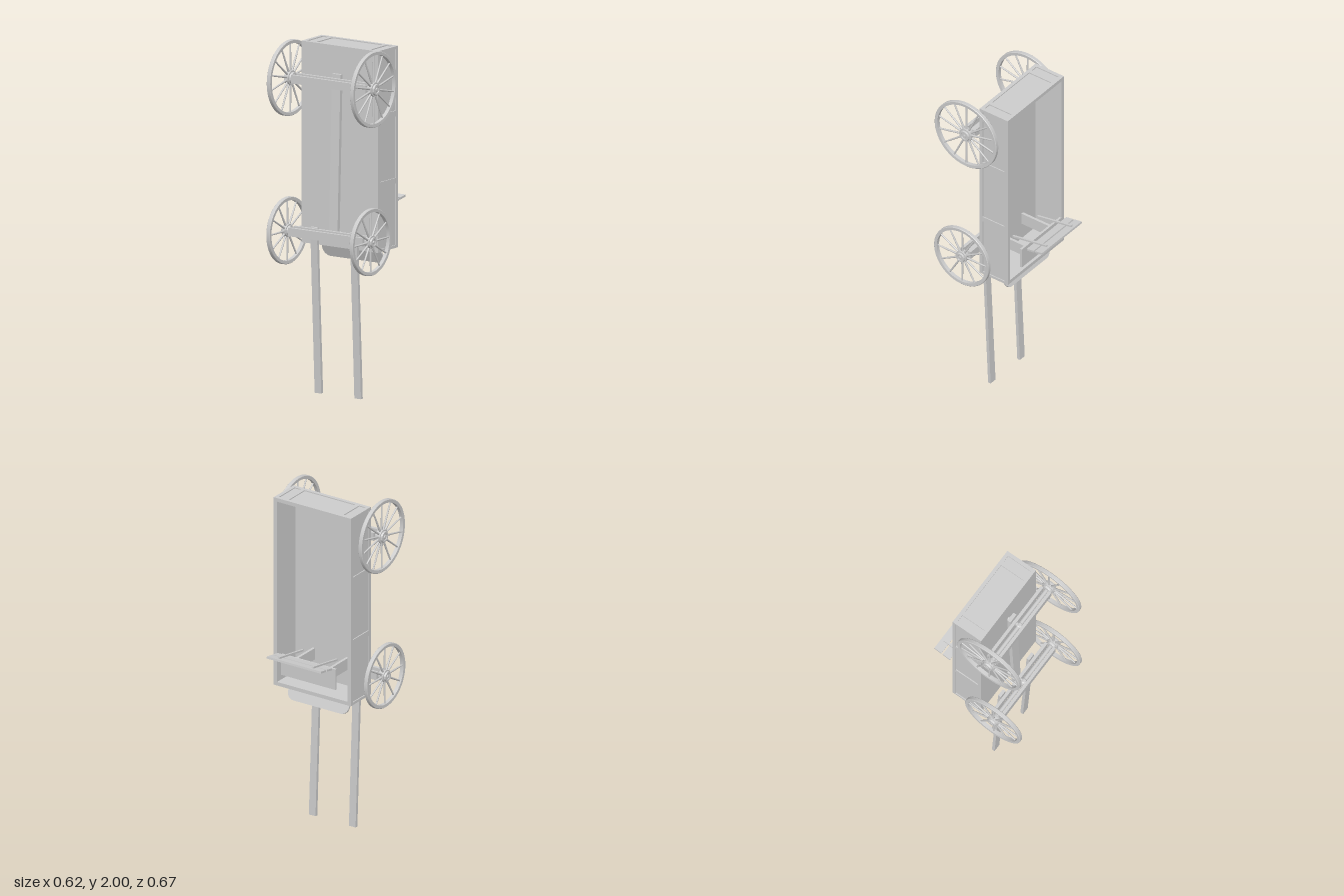
import * as THREE from 'three';
import { toCreasedNormals } from 'three/addons/utils/BufferGeometryUtils.js';

const grey = new THREE.MeshStandardMaterial({ color: 0xcccccc });

function add(parent, name, geometry, x = 0, y = 0, z = 0) {
  const mesh = new THREE.Mesh(geometry, grey);
  mesh.name = name;
  mesh.position.set(x, y, z);
  parent.add(mesh);
  return mesh;
}

// Box given by its limits on each axis
function block(parent, name, x0, x1, y0, y1, z0, z1) {
  const g = new THREE.BoxGeometry(x1 - x0, y1 - y0, z1 - z0);
  return add(parent, name, g, (x0 + x1) / 2, (y0 + y1) / 2, (z0 + z1) / 2);
}

// Straight bar between two points (y, z), lying in a plane of constant x
function bar(parent, name, x, a, b, width, thick) {
  const dy = b[0] - a[0], dz = b[1] - a[1];
  const g = new THREE.BoxGeometry(width, Math.hypot(dy, dz), thick);
  const m = add(parent, name, g, x, (a[0] + b[0]) / 2, (a[1] + b[1]) / 2);
  m.rotation.x = Math.atan2(dz, dy);
  return m;
}

function rectangle(Type, x0, x1, y0, y1) {
  return new Type([[x0, y0], [x1, y0], [x1, y1], [x0, y1]].map(p => new THREE.Vector2(...p)));
}

// Raised frame, with one opening per panel, facing +z
function frame(w, h, openings, depth) {
  const shape = rectangle(THREE.Shape, -w / 2, w / 2, -h / 2, h / 2);
  for (const [a, b] of openings) shape.holes.push(rectangle(THREE.Path, a, b, -h / 2 + 0.021, h / 2 - 0.021));
  return new THREE.ExtrudeGeometry(shape, { depth, bevelEnabled: false });
}

// Lathe turned so that its axis runs along x; points are [x, radius]
function lathe(points, segments) {
  const g = new THREE.LatheGeometry(points.map(([x, r]) => new THREE.Vector2(r, x)), segments);
  return toCreasedNormals(g.rotateZ(-Math.PI / 2), 0.6);
}

function wheel(name, radius, spokes) {
  const g = new THREE.Group();
  g.name = name;
  const inner = radius - 0.02, k = radius / 0.215;
  add(g, 'rim', lathe([[-0.011, inner], [-0.012, radius - 0.003], [-0.009, radius], [0.009, radius],
    [0.012, radius - 0.003], [0.011, inner], [-0.011, inner]], 64));
  add(g, 'hub', lathe([[-0.026, 0], [-0.026, 0.03], [-0.014, 0.033], [-0.014, 0.041], [0.014, 0.041],
    [0.014, 0.033], [0.024, 0.03], [0.024, 0.02], [0.02, 0.018], [0.02, 0.01], [0.027, 0.01], [0.027, 0]]
    .map(([x, r]) => [x, r * k]), 32));
  for (let i = 0; i < spokes; i++) {
    const s = new THREE.CylinderGeometry(0.0045, 0.0065, inner - 0.02, 10);
    s.translate(0, (inner + 0.025) / 2, 0).rotateX(i / spokes * Math.PI * 2);
    add(g, 'spoke', s);
  }
  return g;
}

// Open-topped cargo box; its open side faces -z
function cargoBox() {
  const g = new THREE.Group();
  g.name = 'cargoBox';
  const X = 0.26, Y0 = 0.84, Y1 = 1.985, Z0 = -0.153, Z1 = 0.043, t = 0.006, wall = 0.022;
  const L = Y1 - Y0, H = Z1 - Z0, yc = (Y0 + Y1) / 2, zc = (Z0 + Z1) / 2;
  block(g, 'floor', -X + t, X - t, Y0 + t, Y1 - t, Z1 - 0.015, Z1);
  const endPanels = [[-0.238, -0.196], [-0.171, 0.171], [0.196, 0.238]];
  const sidePanels = [-1, 0, 1].map(i => [i * L / 3 - L / 6 + 0.016, i * L / 3 + L / 6 - 0.016]);
  for (const s of [-1, 1]) {
    const xa = s * (X - t), xb = s * (X - wall);
    block(g, 'sideWall', Math.min(xa, xb), Math.max(xa, xb), Y0 + t, Y1 - t, Z0, Z1);
    const side = frame(L, H, sidePanels, t).rotateZ(Math.PI / 2).rotateY(s * Math.PI / 2);
    add(g, 'sideFrame', side, xa, yc, zc);

    const ya = s > 0 ? Y1 - t : Y0 + t, yb = s > 0 ? Y1 - wall : Y0 + wall;
    block(g, 'endWall', -X + wall, X - wall, Math.min(ya, yb), Math.max(ya, yb), Z0, Z1);
    add(g, 'endFrame', frame(2 * X, H, endPanels, t).rotateX(-s * Math.PI / 2), 0, ya, zc);
  }
  return g;
}

// Round axle between two flat boards, with a wheel on each end
function axleSet(name, y, z, radius, spokes) {
  const g = new THREE.Group();
  g.name = name;
  add(g, 'axle', new THREE.CylinderGeometry(0.012, 0.012, 0.54, 20).rotateZ(Math.PI / 2), 0, y, z);
  for (const s of [-1, 1]) {
    block(g, 'axleBoard', -0.254, 0.254, y - 0.024, y + 0.024, z + s * 0.027 - 0.009, z + s * 0.027 + 0.009);
    const w = wheel('wheel', radius, spokes);
    w.position.set(s * 0.283, y, z);
    if (s < 0) w.rotation.y = Math.PI;
    g.add(w);
  }
  // Pin joining the axle to the box, with a collar round the axle
  const pinLength = z + 0.02 - 0.04;
  add(g, 'pin', new THREE.CylinderGeometry(0.013, 0.013, pinLength, 20).rotateX(Math.PI / 2), 0, y, 0.04 + pinLength / 2);
  add(g, 'collar', lathe([[-0.015, 0.012], [-0.009, 0.016], [0.009, 0.016], [0.015, 0.012]], 20), 0, y, z);
  return g;
}

function seat() {
  const g = new THREE.Group();
  g.name = 'seat';
  block(g, 'seatBoard', -0.183, 0.183, 0.935, 1.06, -0.193, -0.18);
  // Backrest line, as y for a given z
  const lean = z => 1.073 + (-0.15 - z) * 0.17;
  for (const s of [-1, 1]) {
    block(g, 'seatLeg', s * 0.114 - 0.008, s * 0.114 + 0.008, 0.965, 1.035, -0.18, 0.03);
    bar(g, 'backPost', s * 0.114, [lean(-0.08), -0.08], [lean(-0.317), -0.317], 0.012, 0.01);
  }
  for (const z of [-0.228, -0.286]) {
    bar(g, 'backBoard', 0, [lean(z) - 0.011, z], [lean(z - 0.049) - 0.011, z - 0.049], 0.366, 0.012);
  }
  return g;
}

// Sloping foot board with rounded corners
function footBoard() {
  const w = 0.205, h = 0.1, r = 0.046;
  const s = new THREE.Shape();
  s.moveTo(-w + r, -h);
  s.lineTo(w - r, -h);
  s.absarc(w - r, -h + r, r, -Math.PI / 2, 0, false);
  s.absarc(w - r, -r, r, 0, Math.PI / 2, false);
  s.lineTo(-w + r, 0);
  s.absarc(-w + r, -r, r, Math.PI / 2, Math.PI, false);
  s.absarc(-w + r, -h + r, r, Math.PI, Math.PI * 1.5, false);
  const g = new THREE.ExtrudeGeometry(s, { depth: 0.01, bevelEnabled: false, curveSegments: 10 });
  return toCreasedNormals(g, 0.6);
}

export function createModel() {
  const wagon = new THREE.Group();
  wagon.name = 'wagon';
  wagon.add(cargoBox(), seat());
  wagon.add(axleSet('rearAxle', 1.785, 0.117, 0.215, 14));
  wagon.add(axleSet('frontAxle', 0.922, 0.146, 0.19, 12));

  // Reach pole under the floor, linking both axles
  bar(wagon, 'reachPole', 0, [0.885, 0.096], [1.83, 0.066], 0.058, 0.021);

  // Pair of shafts
  for (const s of [-1, 1]) bar(wagon, 'shaft', s * 0.135, [0, 0.052], [0.948, 0.095], 0.045, 0.018);

  const board = add(wagon, 'footBoard', footBoard(), 0, 0.845, -0.07);
  board.rotation.x = 0.4;
  block(wagon, 'footBoardCleat', -0.16, 0.16, 0.828, 0.842, -0.085, -0.05);
  return wagon;
}
